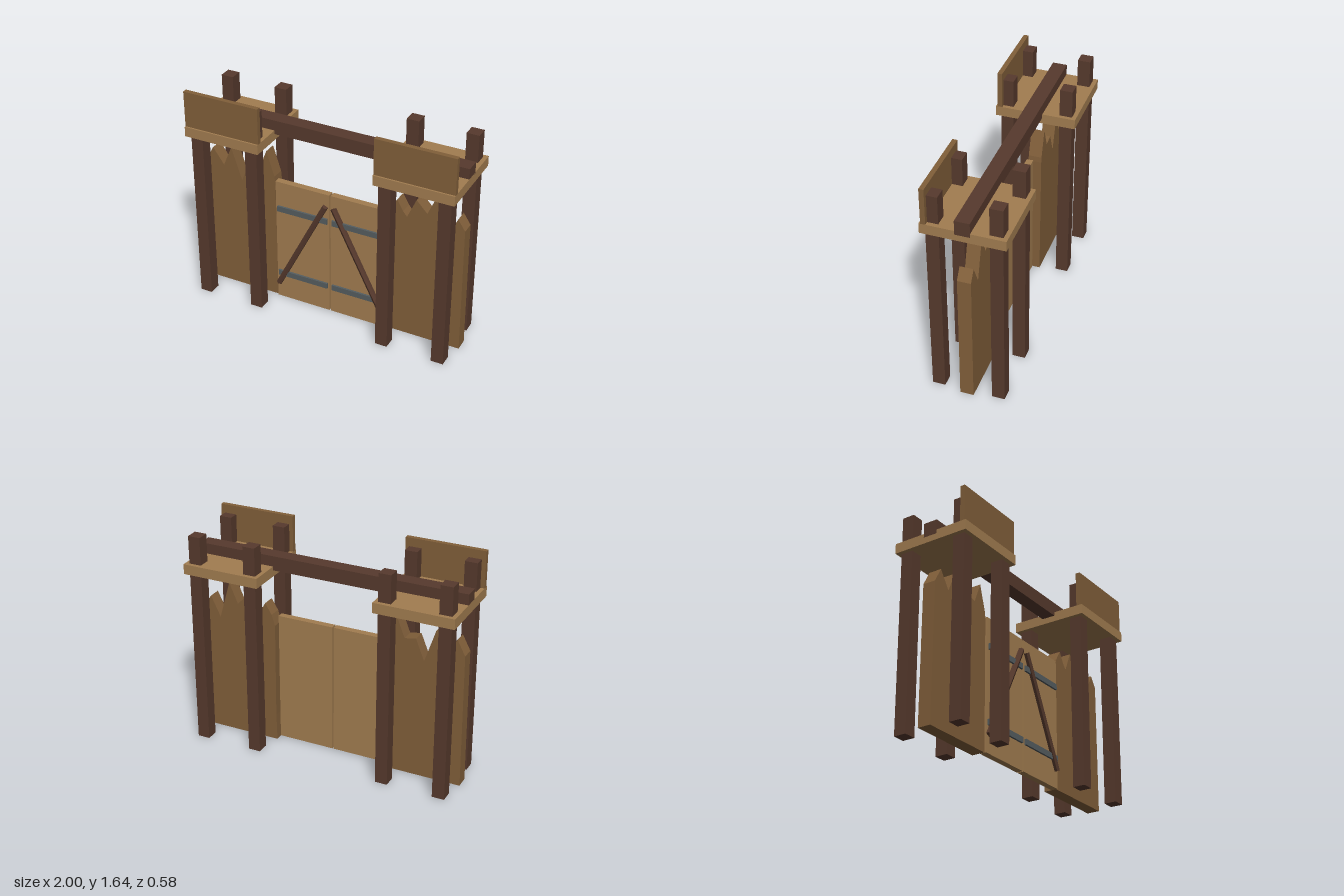
import * as THREE from 'three';

const material = (name, color) => {
  const m = new THREE.MeshStandardMaterial({ color });
  m.name = name;
  return m;
};

export function createModel() {
  const darkWood = material('dark timber', 0x573a2d);
  const plankWood = material('brown plank', 0x815f3a);
  const lightWood = material('light plank', 0xa27d50);
  const iron = material('iron', 0x555d60);

  const gate = new THREE.Group();
  gate.name = 'palisadeGate';

  const add = (name, geometry, mat, x = 0, y = 0, z = 0) => {
    const mesh = new THREE.Mesh(geometry, mat);
    mesh.name = name;
    mesh.position.set(x, y, z);
    gate.add(mesh);
    return mesh;
  };
  // Box given by its limits on each axis
  const box = (name, mat, [x0, x1], [y0, y1], [z0, z1]) =>
    add(name, new THREE.BoxGeometry(x1 - x0, y1 - y0, z1 - z0), mat,
      (x0 + x1) / 2, (y0 + y1) / 2, (z0 + z1) / 2);
  // Limits mirrored to the chosen side
  const span = (side, a, b) => (side > 0 ? [a, b] : [-b, -a]);

  // Jagged palisade outlines, from left to right
  const palisades = {
    leftPalisade: [
      [0.425, 0], [0.43, 0.2], [0.425, 0.92], [0.45, 1.0], [0.5, 1.08], [0.545, 1.0], [0.575, 0.965],
      [0.64, 1.115], [0.72, 1.03], [0.785, 1.18], [0.867, 0.9], [0.94, 1.05], [0.993, 0.97], [1, 0]],
    rightPalisade: [
      [-1, 0], [-0.993, 1.0], [-0.935, 1.11], [-0.85, 0.99], [-0.785, 1.145], [-0.705, 0.9],
      [-0.642, 1.055], [-0.56, 1.04], [-0.5, 1.19], [-0.44, 1.0], [-0.436, 0.96], [-0.43, 0]],
  };
  for (const [name, points] of Object.entries(palisades)) {
    const shape = new THREE.Shape(points.map(([x, y]) => new THREE.Vector2(x, y)));
    add(name, new THREE.ExtrudeGeometry(shape, { depth: 0.095, bevelEnabled: false }), plankWood, 0, 0, -0.047);
  }

  // Crossbeam over the gate
  box('crossbeam', darkWood, [-1, 1], [1.345, 1.45], [-0.052, 0.052]);

  for (const side of [-1, 1]) {
    const label = side > 0 ? 'left' : 'right';

    // Watch platform on four posts, with a front parapet
    box(label + 'Platform', lightWood, span(side, 0.427, 1), [1.3, 1.373], [-0.288, 0.288]);
    box(label + 'Parapet', plankWood, span(side, 0.427, 1), [1.373, 1.638], [0.242, 0.276]);
    for (const x of [0.5, 0.925]) {
      for (const z of [-0.213, 0.213]) {
        box(label + 'Post', darkWood, span(side, x - 0.045, x + 0.045), [0, 1.576], [z - 0.045, z + 0.045]);
      }
    }

    // Door leaf with two iron straps
    box(label + 'Door', lightWood, span(side, 0.006, 0.427), [0, 0.973], [0.01, 0.058]);
    for (const y of [0.215, 0.76]) {
      box(label + 'Strap', iron, span(side, 0.018, 0.412), [y - 0.021, y + 0.021], [0.055, 0.073]);
    }

    // Diagonal brace pole
    const top = new THREE.Vector2(0.032 * side, 0.88);
    const foot = new THREE.Vector2(0.41 * side, 0.125);
    const run = top.clone().sub(foot);
    const pole = new THREE.CylinderGeometry(0.022, 0.022, run.length(), 6).toNonIndexed();
    pole.computeVertexNormals();
    const brace = add(label + 'Brace', pole, darkWood,
      (top.x + foot.x) / 2, (top.y + foot.y) / 2, 0.068);
    brace.rotation.z = Math.atan2(-run.x, run.y);
  }

  return gate;
}
